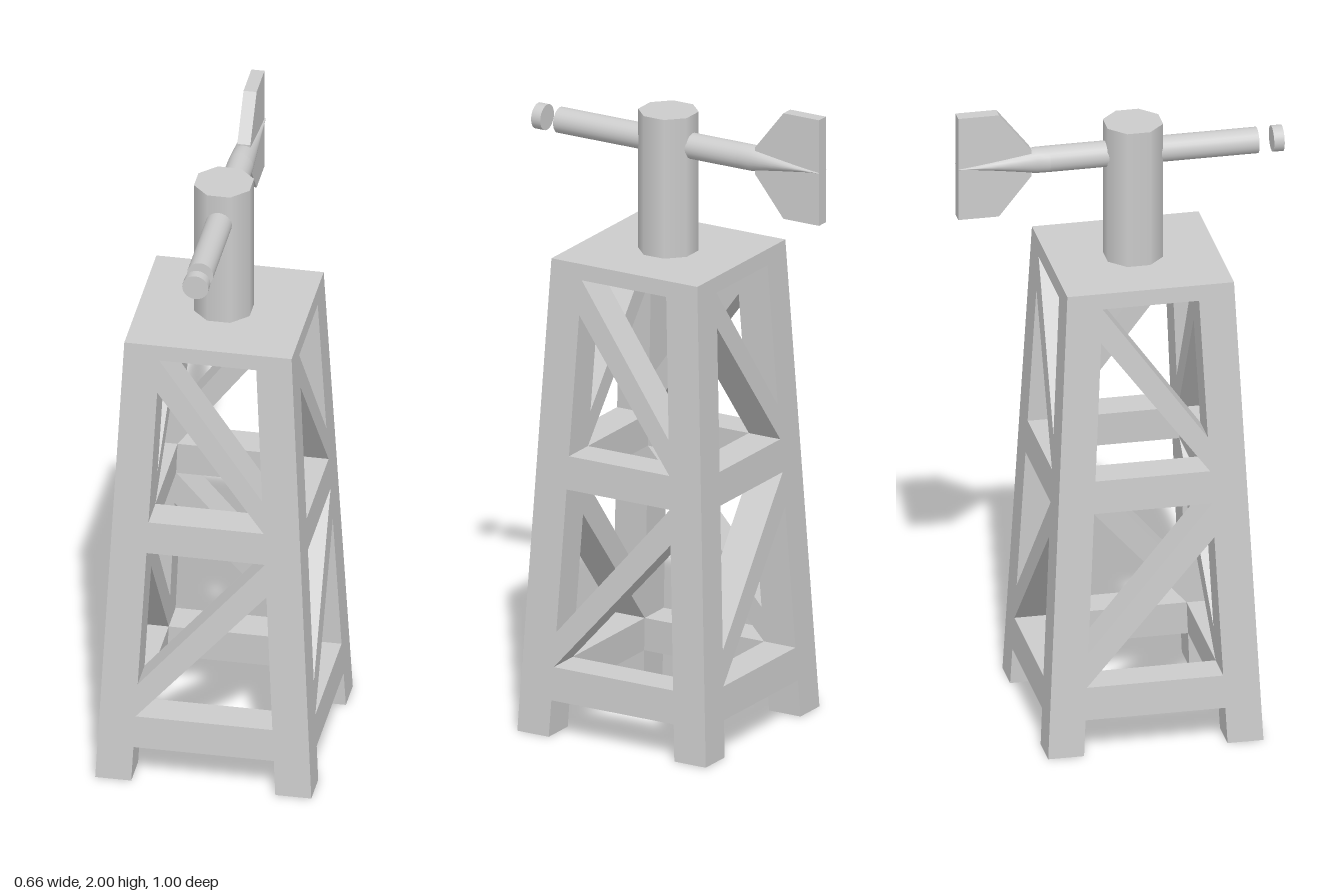
import * as THREE from 'three';

const CENTRE_Z = 0.04;   // tower axis
const T = 0.11;          // thickness of every tower member
const half = (y) => 0.33 - 0.05 * y; // tower half width at height y

const material = new THREE.MeshStandardMaterial({ color: 0xcccccc, side: THREE.DoubleSide });

function add(parent, name, geometry) {
  const mesh = new THREE.Mesh(geometry, material);
  mesh.name = name;
  parent.add(mesh);
  return mesh;
}

// Moves each vertex of a geometry by a rule
function reshape(geometry, rule) {
  const p = geometry.attributes.position;
  const v = new THREE.Vector3();
  for (let i = 0; i < p.count; i++) {
    rule(v.fromBufferAttribute(p, i));
    p.setXYZ(i, v.x, v.y, v.z);
  }
  geometry.computeVertexNormals();
  return geometry;
}

function polygon(points) {
  return new THREE.Shape(points.map(([x, y]) => new THREE.Vector2(x, y)));
}

// Member lying flush in the leaning front face of the tower
function faceMember(points) {
  const g = new THREE.ExtrudeGeometry(polygon(points), { depth: T, bevelEnabled: false });
  return reshape(g, (v) => { v.z += half(v.y) - T; });
}

const inner = (y) => half(y) - T; // inner edge of the legs

function belt(y0, y1) {
  return faceMember([[-inner(y0), y0], [inner(y0), y0], [inner(y1), y1], [-inner(y1), y1]]);
}

// Diagonal between two belts; side is the x sign of its lower end
function brace(y0, y1, side) {
  const pts = [[side, y0], [-side, y1 - T], [-side, y1], [side, y0 + T]]
    .map(([s, y]) => [s * inner(y), y]);
  return faceMember(pts);
}

// Leaning square leg, open at the foot
function leg(height) {
  const g = new THREE.BoxGeometry(T, height, T).toNonIndexed();
  const keep = [];
  for (let i = 0; i < 36; i++) if (i < 18 || i >= 24) keep.push(i); // drop the bottom
  g.setIndex(keep);
  return reshape(g, (v) => {
    v.y += height / 2;
    v.x += half(v.y) - T / 2;
    v.z += half(v.y) - T / 2;
  });
}

function createTower() {
  const tower = new THREE.Group();
  tower.name = 'tower';
  tower.position.z = CENTRE_Z;
  for (let i = 0; i < 4; i++) {
    const side = new THREE.Group();
    side.name = 'towerSide';
    side.rotation.y = i * Math.PI / 2;
    add(side, 'leg', leg(1.44));
    add(side, 'lowerBelt', belt(0.115, 0.22));
    add(side, 'middleBelt', belt(0.78, 0.885));
    add(side, 'lowerBrace', brace(0.22, 0.78, -1));
    add(side, 'upperBrace', brace(0.885, 1.44, 1));
    tower.add(side);
  }
  // Tapered top platform
  const plate = reshape(new THREE.BoxGeometry(2, 0.05, 2), (v) => {
    v.y += 1.465;
    v.x *= half(v.y);
    v.z *= half(v.y);
  });
  add(tower, 'platform', plate);
  return tower;
}

function rod(z0, z1, segments = 1) {
  const g = new THREE.CylinderGeometry(0.04, 0.04, z1 - z0, 24, segments);
  return g.rotateX(Math.PI / 2).translate(0, 0, (z0 + z1) / 2);
}

function createHead() {
  const head = new THREE.Group();
  head.name = 'head';

  // Smooth-shaded eight-sided post
  const post = new THREE.CylinderGeometry(0.092, 0.092, 0.44, 8).rotateY(Math.PI / 8);
  add(head, 'post', post).position.set(0, 1.71, CENTRE_Z);

  // Horizontal shaft with a separate disc at its nose
  const shaft = new THREE.Group();
  shaft.name = 'shaft';
  shaft.position.y = 1.832;
  add(shaft, 'shaftRod', rod(-0.22, 0.42));
  add(shaft, 'noseDisc', rod(0.465, 0.497));
  const tail = reshape(rod(-0.5, -0.22, 7), (v) => {
    v.x *= THREE.MathUtils.mapLinear(v.z, -0.22, -0.5, 1, 0.6);
    v.y *= Math.min(1, THREE.MathUtils.mapLinear(v.z, -0.26, -0.5, 1, 0.02));
  });
  add(shaft, 'shaftTaper', tail);
  head.add(shaft);

  // Tail vane, drawn with distance behind the centre as shape x
  const outline = polygon([
    [0.275, 1.79], [0.375, 1.665], [0.5, 1.665], [0.5, 2], [0.375, 2], [0.275, 1.873],
  ]);
  const vane = new THREE.ExtrudeGeometry(outline, { depth: 0.04, bevelEnabled: false });
  vane.translate(0, 0, -0.02).rotateY(Math.PI / 2);
  add(head, 'tailVane', vane);
  return head;
}

export function createModel() {
  const model = new THREE.Group();
  model.name = 'windVaneTower';
  model.add(createTower(), createHead());
  return model;
}
